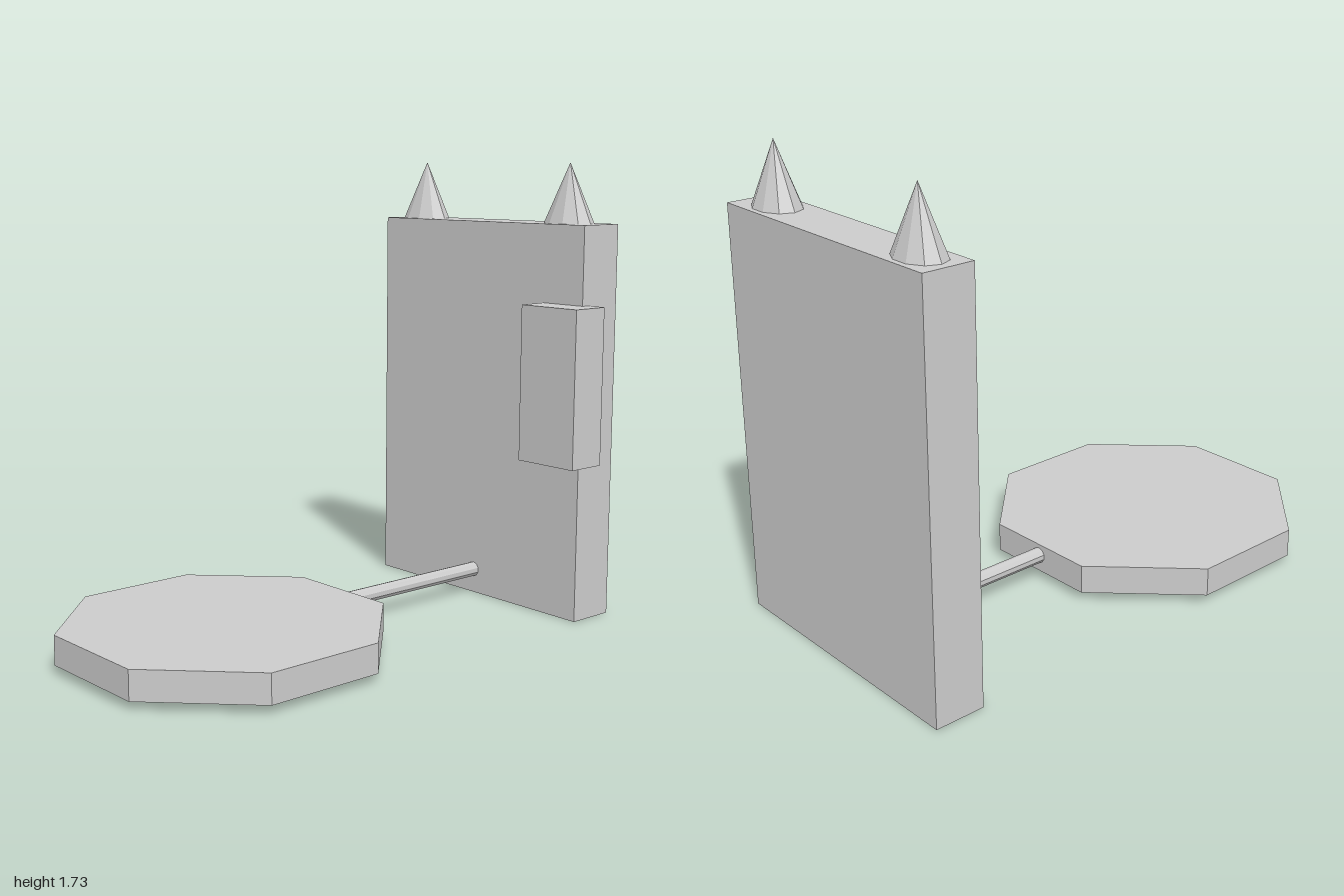
import * as THREE from 'three';

export function createModel() {
  const model = new THREE.Group();
  const material = new THREE.MeshStandardMaterial({ color: 0xcccccc, flatShading: true });

  const add = (name, geometry, x, y, z) => {
    const mesh = new THREE.Mesh(geometry, material);
    mesh.name = name;
    mesh.position.set(x, y, z);
    model.add(mesh);
    return mesh;
  };

  // Upright slab at the back, with an offset block on its front
  add('backSlab', new THREE.BoxGeometry(1.065, 1.5, 0.19), -0.028, 0.75, -0.905);
  add('sideBlock', new THREE.BoxGeometry(0.265, 0.59, 0.155), 0.446, 0.909, -0.768);

  // Flattened ten-sided spikes on the top edge
  for (const [name, x] of [['rightSpike', -0.424], ['leftSpike', 0.347]]) {
    const spike = add(name, new THREE.ConeGeometry(0.105, 0.227, 10, 1, false, Math.PI / 2), x, 1.6135, -0.905);
    spike.scale.z = 0.75;
  }

  // Octagonal plate lying in front
  const plate = add('octagonPlate', new THREE.CylinderGeometry(0.598, 0.598, 0.108, 8), -0.026, 0.085, 0.444);
  plate.rotation.y = THREE.MathUtils.degToRad(23.2);

  // Thin rod joining plate and slab
  const rod = add('connectingRod', new THREE.CylinderGeometry(0.029, 0.029, 0.74, 10), -0.031, 0.096, -0.46);
  rod.rotation.x = Math.PI / 2;

  return model;
}
